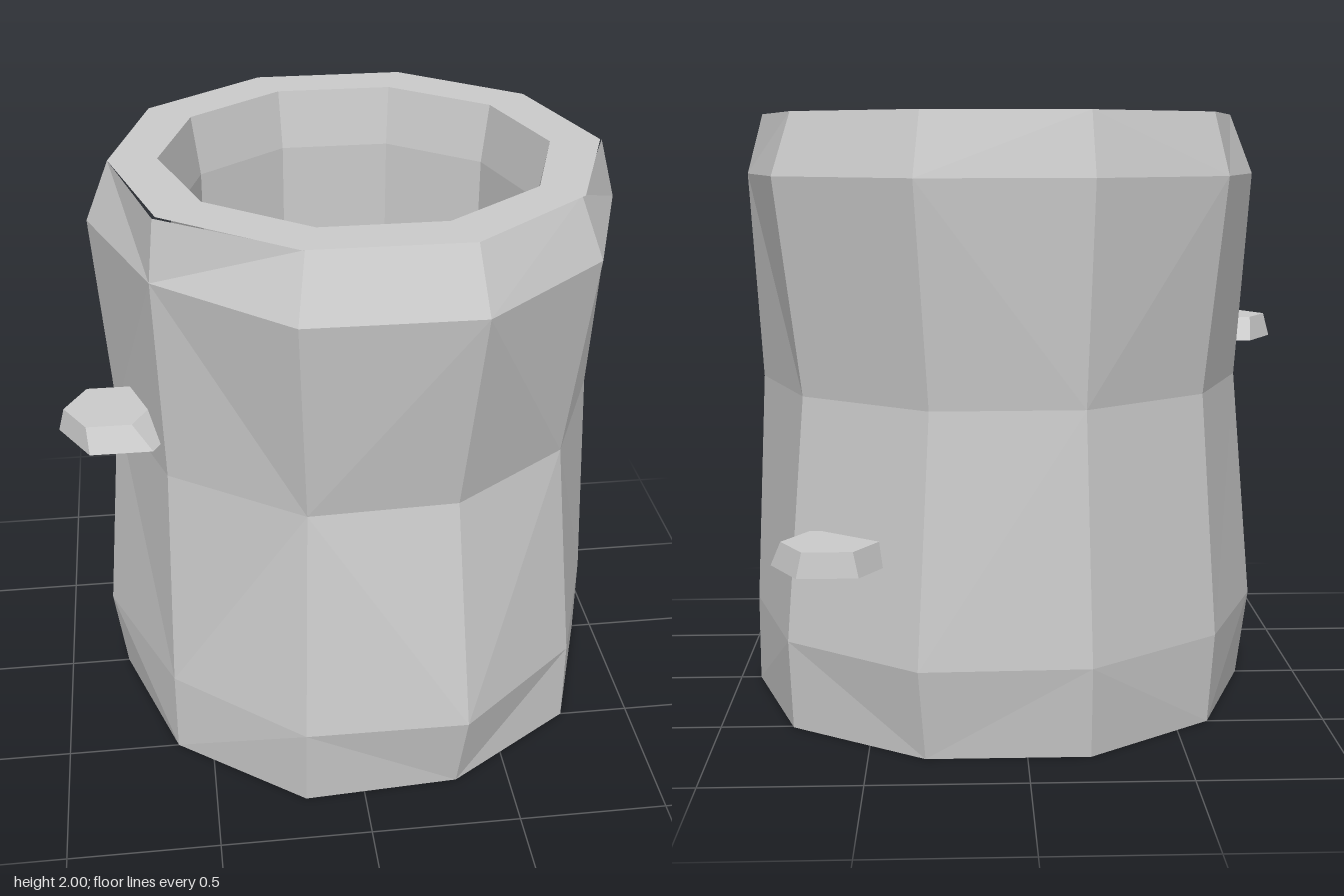
import * as THREE from 'three';

// Ring outlines as [x, z] pairs, running from +x round through +z
const SIDES = 10;

// Skin between successive rings of points; the diagonals alternate, flipped in the listed bands
function loft(rings, flippedBands = []) {
  const pos = [];
  for (let k = 0; k < rings.length - 1; k++) {
    for (let i = 0; i < SIDES; i++) {
      const j = (i + 1) % SIDES;
      const a = rings[k][i], b = rings[k][j], c = rings[k + 1][j], d = rings[k + 1][i];
      const even = (i % 2 === 0) !== flippedBands.includes(k);
      const tris = even ? [a, d, c, a, c, b] : [a, d, b, d, c, b];
      tris.forEach(p => pos.push(...p));
    }
  }
  const g = new THREE.BufferGeometry();
  g.setAttribute('position', new THREE.Float32BufferAttribute(pos, 3));
  g.computeVertexNormals();
  return g;
}

const ring = (y, pts) => pts.map(([x, z]) => [x, y, z]);

// Regular ten-sided ring for the hollow
const roundRing = (y, r) => Array.from({ length: SIDES }, (_, i) => {
  const t = i / SIDES * Math.PI * 2;
  return [0.065 + r * Math.cos(t), y, r * Math.sin(t)];
});

// Six-sided bracket: wide base, smaller top that may sit off centre
function bracketGeometry(rBottom, rTop, topX, topZ) {
  const g = new THREE.CylinderGeometry(rTop, rBottom, 0.08, 6).toNonIndexed();
  g.rotateY(Math.PI / 6);
  const p = g.attributes.position;
  for (let i = 0; i < p.count; i++) {
    if (p.getY(i) > 0) p.setXYZ(i, p.getX(i) + topX, p.getY(i), p.getZ(i) + topZ);
  }
  g.computeVertexNormals();
  return g;
}

export function createModel() {
  const group = new THREE.Group();
  const grey = new THREE.MeshStandardMaterial({ color: 0xcccccc, flatShading: true });
  grey.name = 'light grey';

  const add = (name, geometry, x = 0, y = 0, z = 0) => {
    const m = new THREE.Mesh(geometry, grey);
    m.name = name;
    m.position.set(x, y, z);
    group.add(m);
  };

  // Outer bark: uneven rings pinched at the waist and drawn in at both ends
  const foot = ring(0, [[0.93, 0], [0.76, 0.5], [0.32, 0.79], [-0.2, 0.82], [-0.62, 0.5],
    [-0.79, 0], [-0.61, -0.5], [-0.2, -0.8], [0.32, -0.8], [0.76, -0.51]]);
  const bark = [
    foot,
    ring(0.3, [[0.93, 0], [0.76, 0.5], [0.34, 0.855], [-0.2, 0.85], [-0.62, 0.5],
      [-0.83, 0], [-0.63, -0.51], [-0.2, -0.84], [0.34, -0.855], [0.77, -0.53]]),
    ring(1.1, [[0.89, 0], [0.69, 0.455], [0.3, 0.73], [-0.18, 0.75], [-0.6, 0.46],
      [-0.76, 0], [-0.58, -0.47], [-0.18, -0.78], [0.3, -0.79], [0.71, -0.48]]),
    ring(1.8, [[0.93, 0], [0.76, 0.505], [0.34, 0.855], [-0.21, 0.85], [-0.62, 0.5],
      [-0.81, 0], [-0.645, -0.525], [-0.2, -0.835], [0.34, -0.86], [0.79, -0.52]]),
    ring(2, [[0.875, 0], [0.69, 0.46], [0.315, 0.765], [-0.18, 0.76], [-0.6, 0.485],
      [-0.73, 0], [-0.6, -0.49], [-0.19, -0.785], [0.32, -0.8], [0.73, -0.49]]),
  ];
  add('outerBark', loft(bark, [2]));

  // Rim, hollow and foot face as one inner skin
  const rim = ring(2, [[0.87, 0], [0.7, 0.465], [0.315, 0.765], [-0.19, 0.76], [-0.59, 0.475],
    [-0.73, 0], [-0.59, -0.48], [-0.19, -0.77], [0.32, -0.77], [0.72, -0.475]]);
  add('rimAndHollow', loft([rim, roundRing(2, 0.637), roundRing(1.8, 0.605),
    roundRing(0.3, 0.605), roundRing(0, 0.637), foot]));

  // Bracket growths on the sides
  add('upperBracket', bracketGeometry(0.2, 0.145, -0.035, 0.008), -0.74, 1.24, 0.297);
  add('lowerBracket', bracketGeometry(0.19, 0.156, 0, -0.02), 0.61, 0.64, -0.69);

  return group;
}
